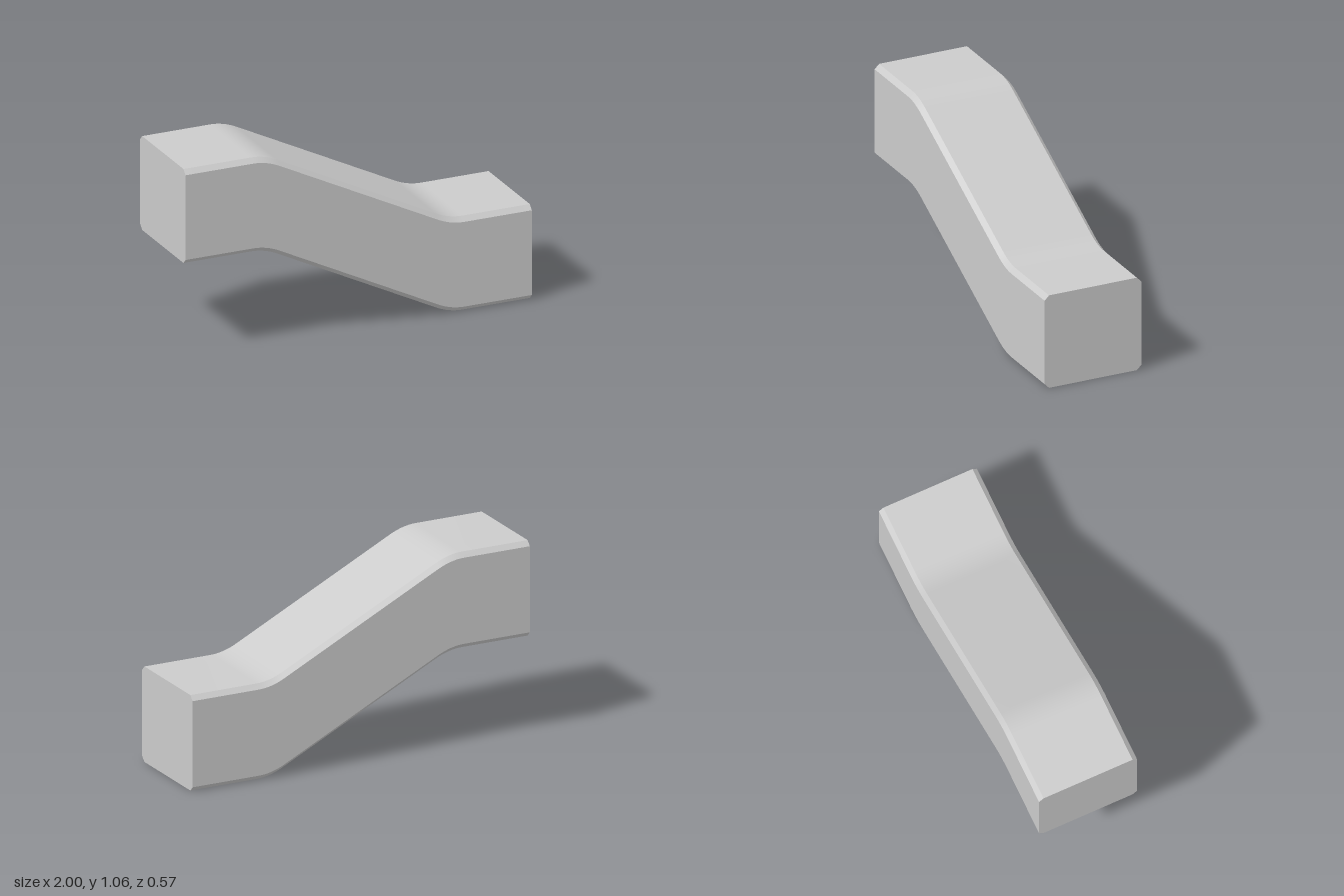
import * as THREE from 'three';
import { toCreasedNormals } from 'three/addons/utils/BufferGeometryUtils.js';

const HEIGHT = 0.53, HALF_DEPTH = 0.283, CHAMFER = 0.026, DROP = 0.533;

// Lower edge of the beam: level, smooth bend, slope, smooth bend, level
function beamPath() {
  const v = (x, y) => new THREE.Vector2(x, y);
  const upper = new THREE.QuadraticBezierCurve(v(-0.61, DROP), v(-0.533, DROP), v(-0.456, DROP - 0.0385)).getPoints(8);
  const lower = upper.map(p => v(-p.x, DROP - p.y)).reverse();
  return [v(-1, DROP), ...upper, ...lower, v(1, 0)];
}

// Square section with its four long edges chamfered
function beamSection() {
  const w = HALF_DEPTH, c = CHAMFER, h = HEIGHT;
  return new THREE.Shape([
    [-w + c, 0], [w - c, 0], [w, c], [w, h - c],
    [w - c, h], [-w + c, h], [-w, h - c], [-w, c],
  ].map(([x, y]) => new THREE.Vector2(x, y)));
}

export function createModel() {
  const group = new THREE.Group();
  group.name = 'slopedBeam';

  // Extrude one unit per path point, then shift each section onto the path
  const path = beamPath();
  const n = path.length - 1;
  const geometry = new THREE.ExtrudeGeometry(beamSection(), { depth: n, steps: n, bevelEnabled: false });
  const pos = geometry.attributes.position;
  for (let i = 0; i < pos.count; i++) {
    const p = path[Math.round(pos.getZ(i))];
    pos.setXYZ(i, p.x, pos.getY(i) + p.y, -pos.getX(i));
  }

  const beam = new THREE.Mesh(
    toCreasedNormals(geometry, THREE.MathUtils.degToRad(20)),
    new THREE.MeshStandardMaterial({ color: 0xcccccc }),
  );
  beam.name = 'beam';
  group.add(beam);
  return group;
}
